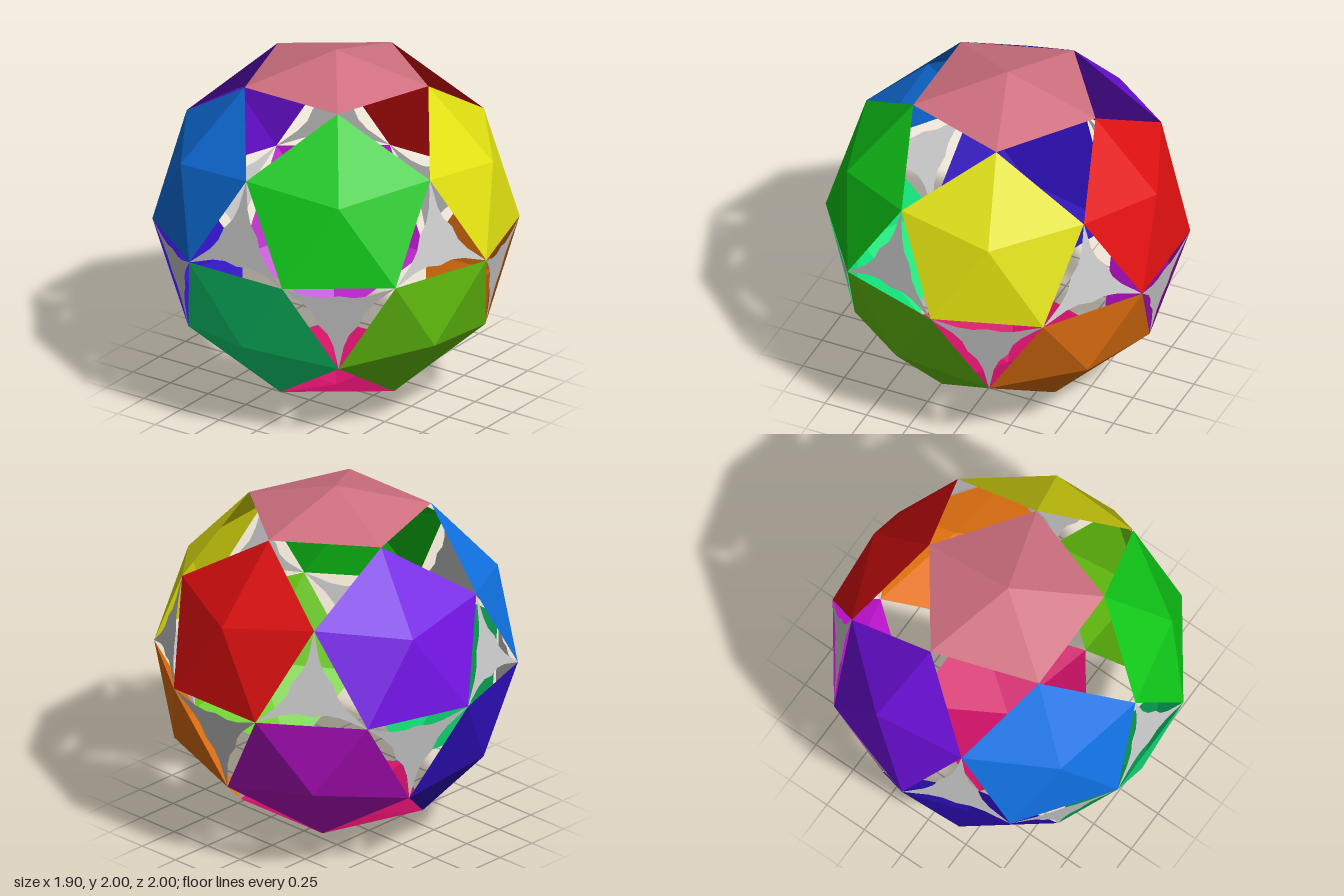
import * as THREE from 'three';

const CENTRE = new THREE.Vector3(0, 1, 0);

// unit direction of an icosahedron corner at height y and azimuth in degrees
function corner(y, degrees) {
  const r = Math.sqrt(1 - y * y), a = THREE.MathUtils.degToRad(degrees);
  return new THREE.Vector3(r * Math.cos(a), y, r * Math.sin(a));
}

const midpoint = (a, b) => a.clone().add(b).normalize();

// closed fan of flat triangles around a hub, wound to face outwards
function fan(hub, rim, color, name) {
  const ring = rim.slice();
  if (ring[0].clone().cross(ring[1]).dot(hub) < 0) ring.reverse();
  const points = [];
  ring.forEach((p, i) => points.push(hub, p, ring[(i + 1) % ring.length]));
  const geometry = new THREE.BufferGeometry().setFromPoints(points);
  geometry.computeVertexNormals();
  const material = new THREE.MeshStandardMaterial({ color, flatShading: true, side: THREE.DoubleSide });
  const mesh = new THREE.Mesh(geometry, material);
  mesh.name = name;
  mesh.position.copy(CENTRE);
  return mesh;
}

// shallow five-sided pyramid whose base corners lie halfway to the neighbouring apexes
function pentagonCap(apex, all, color, name) {
  const up = Math.abs(apex.y) > 0.9 ? new THREE.Vector3(1, 0, 0) : new THREE.Vector3(0, 1, 0);
  const u = up.cross(apex).normalize(), v = apex.clone().cross(u);
  const angle = (p) => Math.atan2(p.dot(v), p.dot(u));
  const rim = all
    .filter((p) => Math.abs(p.dot(apex) - 1 / Math.sqrt(5)) < 0.01)
    .map((p) => midpoint(apex, p))
    .sort((p, q) => angle(p) - angle(q));
  return fan(apex, rim, color, name);
}

// flat three-armed connector: [position along edge, inset from edge]
const EDGE = [[0, 0], [0.24, 0.052], [0.37, 0.064], [0.5, 0.05], [0.63, 0.064], [0.76, 0.052]];

function connector(a, b, c, name) {
  const tips = [midpoint(a, b), midpoint(b, c), midpoint(c, a)];
  const hub = new THREE.Vector3();
  tips.forEach((p) => hub.addScaledVector(p, 1 / 3));
  const rim = [];
  tips.forEach((p, i) => {
    const q = tips[(i + 1) % 3];
    const inward = hub.clone().sub(p.clone().lerp(q, 0.5)).normalize();
    EDGE.forEach(([t, d]) => rim.push(p.clone().lerp(q, t).addScaledVector(inward, d)));
  });
  return fan(hub, rim, 0xcccccc, name);
}

export function createModel() {
  const group = new THREE.Group();
  group.name = 'pentagonBall';

  const h = 1 / Math.sqrt(5);
  const upper = [], lower = [];
  for (let k = 0; k < 5; k++) {
    upper.push(corner(h, 72 * k));
    lower.push(corner(-h, 72 * k + 36));
  }
  const top = new THREE.Vector3(0, 1, 0), bottom = new THREE.Vector3(0, -1, 0);
  const all = [top, bottom, ...upper, ...lower];

  // coloured caps
  const upperColors = [0xe01010, 0xe0e010, 0x10c818, 0x1070e0, 0x7010e0];
  const lowerColors = [0xe07010, 0x68c810, 0x10e078, 0x3010c0, 0xb810c8];
  group.add(pentagonCap(top, all, 0xd07080, 'topCap'));
  group.add(pentagonCap(bottom, all, 0xd01068, 'bottomCap'));
  for (let k = 0; k < 5; k++) {
    group.add(pentagonCap(upper[k], all, upperColors[k], `upperCap${k + 1}`));
    group.add(pentagonCap(lower[k], all, lowerColors[k], `lowerCap${k + 1}`));
  }

  // grey connectors around the equator
  for (let k = 0; k < 5; k++) {
    const n = (k + 1) % 5;
    group.add(connector(upper[k], upper[n], lower[k], `upperConnector${k + 1}`));
    group.add(connector(lower[k], lower[n], upper[n], `lowerConnector${k + 1}`));
  }
  return group;
}
